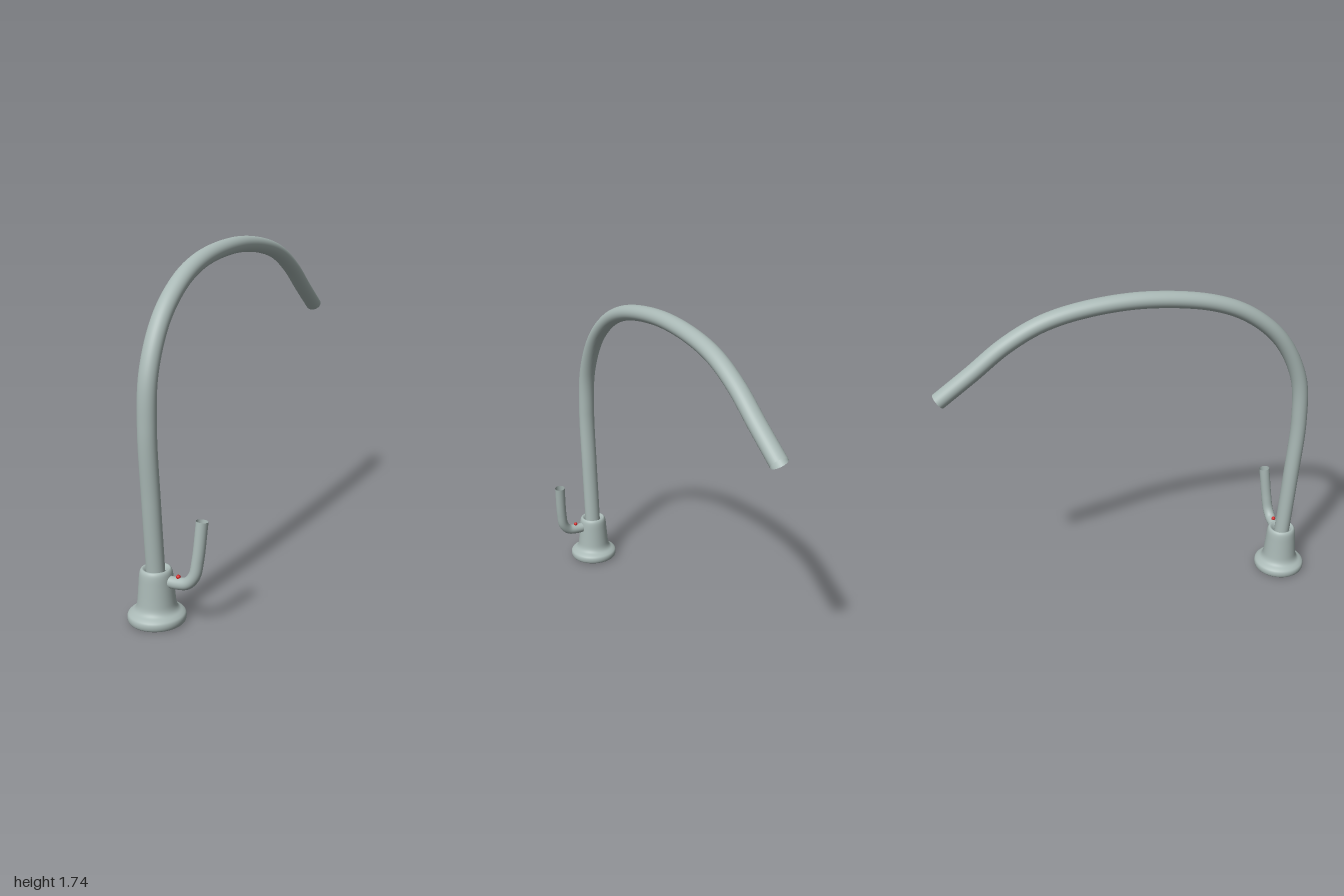
import * as THREE from 'three';

const METAL = new THREE.MeshStandardMaterial({ color: 0xa9b8b5, side: THREE.DoubleSide });
const RED = new THREE.MeshStandardMaterial({ color: 0xd02828 });
const BASE_X = -0.061, BASE_Z = 0.86;

function addMesh(group, name, geometry, material = METAL) {
  const mesh = new THREE.Mesh(geometry, material);
  mesh.name = name;
  group.add(mesh);
  return mesh;
}

// Open-ended pipe swept along a smooth curve through the points
function pipe(points, radius, segments) {
  const curve = new THREE.CatmullRomCurve3(points.map(p => new THREE.Vector3(...p)));
  return new THREE.TubeGeometry(curve, segments, radius, 32, false);
}

export function createModel() {
  const group = new THREE.Group();
  group.name = 'faucet';

  // Bell-shaped base with a rounded foot and a lip dipping in around the spout
  const profile = new THREE.SplineCurve([
    [0.122, 0], [0.135, 0.008], [0.14, 0.025], [0.137, 0.042], [0.125, 0.053],
    [0.106, 0.065], [0.095, 0.085], [0.09, 0.12], [0.084, 0.19], [0.08, 0.235],
    [0.075, 0.257], [0.066, 0.267], [0.055, 0.262], [0.04, 0.245],
  ].map(p => new THREE.Vector2(...p)));
  addMesh(group, 'base', new THREE.LatheGeometry(profile.getPoints(52), 48))
    .position.set(BASE_X, 0, BASE_Z);

  // Flat underside of the base
  const underside = addMesh(group, 'baseUnderside', new THREE.CircleGeometry(0.122, 48));
  underside.rotation.x = Math.PI / 2;
  underside.position.set(BASE_X, 0, BASE_Z);

  // Long arched spout, slightly wider than deep
  const spout = addMesh(group, 'spout', pipe([
    [0, 0.2, 0.86], [0, 0.6, 0.887], [0, 0.95, 0.905], [0, 1.2, 0.88],
    [0, 1.42, 0.77], [0, 1.57, 0.6], [0, 1.655, 0.4], [0, 1.7, 0.06],
    [0, 1.68, -0.24], [0, 1.625, -0.46], [0, 1.53, -0.64], [0, 1.4, -0.81],
    [0, 1.276, -0.978],
  ], 0.041, 120));
  spout.scale.x = 1.13;
  spout.position.x = BASE_X;

  // Lever that leaves the side of the base and turns upward
  addMesh(group, 'lever', pipe([
    [-0.02, 0.212, 0.86], [0.06, 0.212, 0.86], [0.108, 0.223, 0.86],
    [0.142, 0.263, 0.855], [0.157, 0.34, 0.846], [0.171, 0.525, 0.826],
  ], 0.029, 48));

  // Small red temperature marker on the lever
  addMesh(group, 'temperatureMarker', new THREE.SphereGeometry(0.011, 20, 14), RED)
    .position.set(0.06, 0.244, 0.86);

  return group;
}
